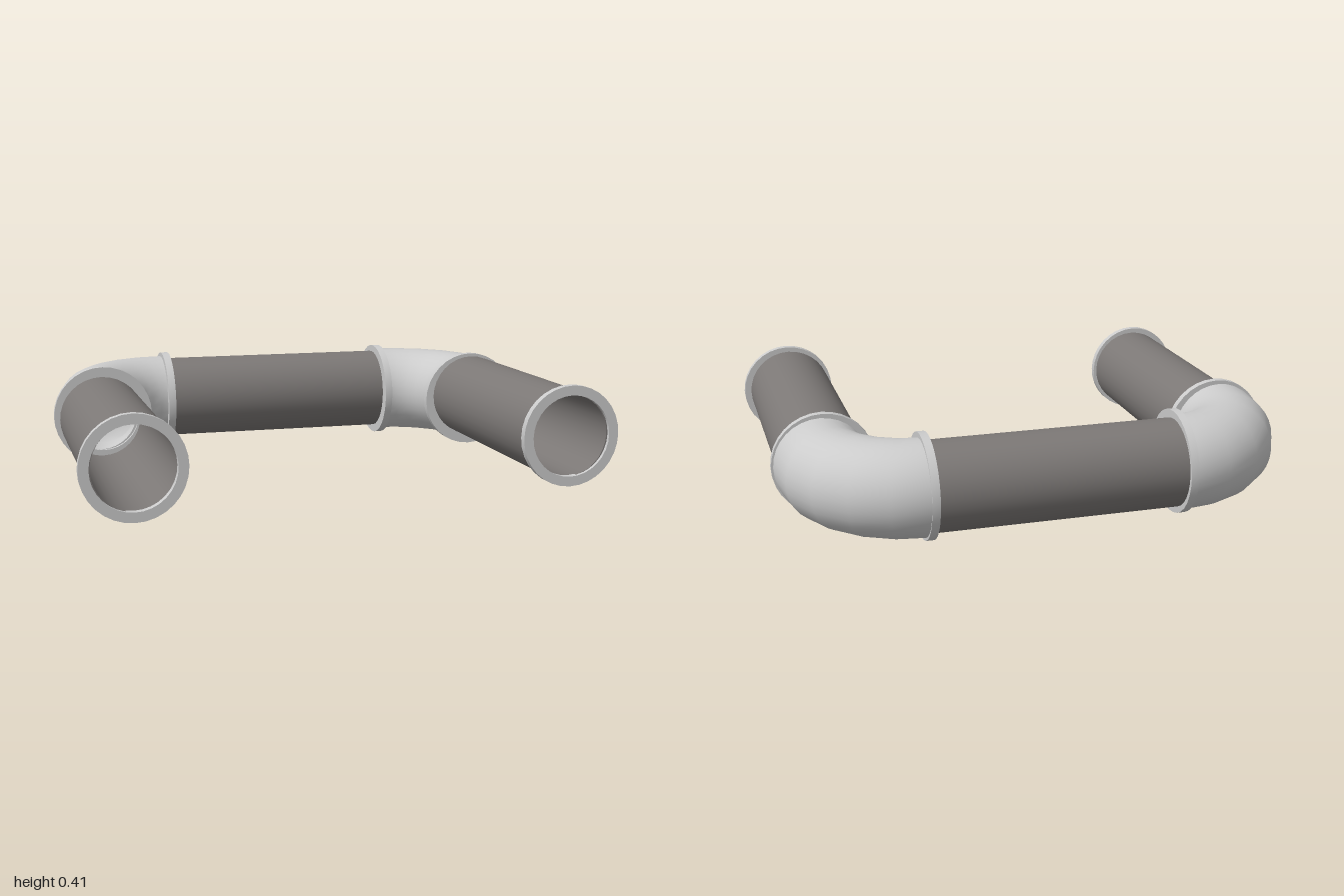
import * as THREE from 'three';
import { toCreasedNormals } from 'three/addons/utils/BufferGeometryUtils.js';

const SIDES = 32;

// Hollow ring or tube centred on the origin, lying along 'x' or 'z'
function ringGeometry(outer, inner, length, axis) {
  const h = length / 2;
  const profile = [[inner, -h], [outer, -h], [outer, h], [inner, h], [inner, -h]]
    .map(([r, y]) => new THREE.Vector2(r, y));
  const geometry = toCreasedNormals(new THREE.LatheGeometry(profile, SIDES), 0.6);
  if (axis === 'x') geometry.rotateZ(-Math.PI / 2);
  else geometry.rotateX(Math.PI / 2);
  return geometry;
}

export function createModel() {
  const group = new THREE.Group();
  const fitting = new THREE.MeshStandardMaterial({ color: 0xcccccc });
  const lining = new THREE.MeshStandardMaterial({ color: 0xcccccc, side: THREE.DoubleSide });
  const pipe = new THREE.MeshStandardMaterial({ color: 0x7c7876 });

  function add(name, geometry, material, x, y, z, parent = group) {
    const mesh = new THREE.Mesh(geometry, material);
    mesh.name = name;
    mesh.position.set(x, y, z);
    parent.add(mesh);
  }

  // Cross pipe along the back
  add('crossPipe', ringGeometry(0.169, 0.153, 0.96, 'x'), pipe, 0, 0.205, -0.582);

  for (const side of [-1, 1]) {
    const label = side > 0 ? 'left' : 'right';
    const legY = side > 0 ? 0.217 : 0.19; // the two legs sit at slightly different heights

    // Straight leg with its open end flange
    add(label + 'LegPipe', ringGeometry(0.17, 0.155, 0.96, 'z'), pipe, side * 0.803, legY, 0.27);
    add(label + 'EndFlange', ringGeometry(0.19, 0.153, 0.028, 'z'), fitting, side * 0.81, legY, 0.75);

    // Flanges at both mouths of the elbow
    add(label + 'LegFlange', ringGeometry(0.198, 0.145, 0.028, 'z'), fitting, side * 0.798, 0.202, -0.22);
    add(label + 'CrossFlange', ringGeometry(0.198, 0.145, 0.03, 'x'), fitting, side * 0.485, 0.204, -0.567);

    // Quarter-turn elbow: outer skin, inner lining and short straight collars
    const elbow = new THREE.Group();
    elbow.name = label + 'Elbow';
    elbow.position.set(side * 0.485, 0.203, -0.26);
    for (const [name, radius, material] of [['elbowSkin', 0.181, fitting], ['elbowLining', 0.145, lining]]) {
      const bend = new THREE.TorusGeometry(0.322, radius, SIDES, 5, Math.PI / 2);
      bend.rotateX(-Math.PI / 2);
      if (side < 0) bend.rotateY(Math.PI / 2);
      add(name, bend, material, 0, 0, 0, elbow);
    }
    add('legCollar', ringGeometry(0.181, 0.145, 0.04, 'z'), fitting, side * 0.322, 0, 0.02, elbow);
    add('crossCollar', ringGeometry(0.181, 0.145, 0.01, 'x'), fitting, side * -0.005, 0, -0.322, elbow);
    group.add(elbow);
  }
  return group;
}
